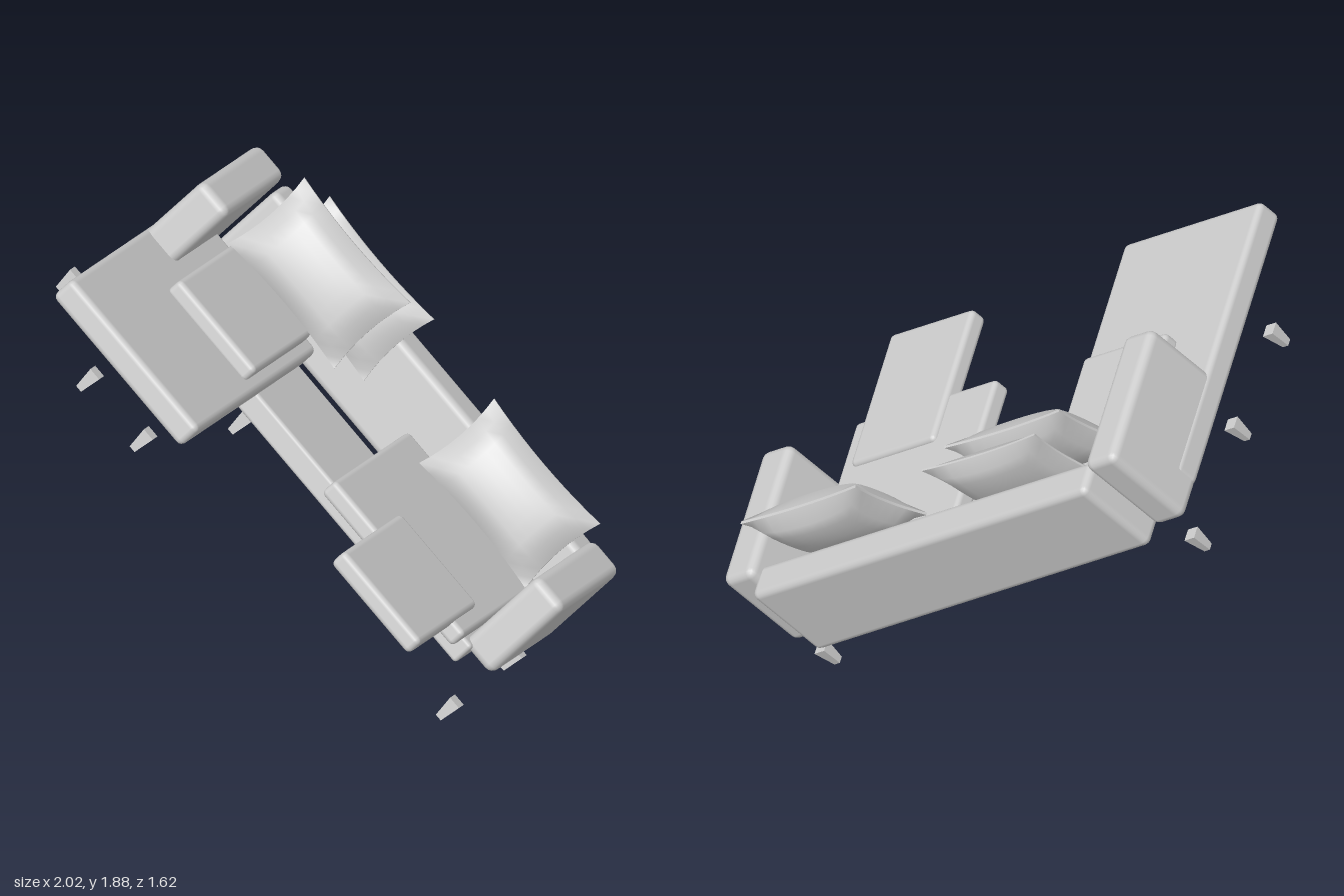
import * as THREE from 'three';
import { RoundedBoxGeometry } from 'three/addons/geometries/RoundedBoxGeometry.js';

const material = new THREE.MeshStandardMaterial({ color: 0xcccccc });

// Padded block spanning the given ranges: a = width, b = height, c = depth
function block(name, a, b, c, radius) {
  const geometry = new RoundedBoxGeometry(a[1] - a[0], b[1] - b[0], c[1] - c[0], 2, radius);
  const mesh = new THREE.Mesh(geometry, material);
  mesh.name = name;
  mesh.position.set((a[0] + a[1]) / 2, (b[0] + b[1]) / 2, (c[0] + c[1]) / 2);
  return mesh;
}

// Stuffed pillow: a box bulged in the middle, pinched at the seams, pointed at the corners
function pillow(name, width, height, depth, position, lean) {
  const geometry = new THREE.BoxGeometry(2, 2, 2, 10, 8, 1);
  const p = geometry.attributes.position;
  for (let i = 0; i < p.count; i++) {
    const x = p.getX(i), y = p.getY(i);
    const bulge = Math.pow((1 - x * x) * (1 - y * y), 0.4);
    p.setXYZ(i,
      x * (1 - 0.07 * (1 - y * y)) * width / 2,
      y * (1 - 0.09 * (1 - x * x)) * height / 2,
      p.getZ(i) * (0.06 + 0.94 * bulge) * depth / 2);
  }
  geometry.computeVertexNormals();
  const mesh = new THREE.Mesh(geometry, material);
  mesh.name = name;
  mesh.position.set(...position);
  mesh.rotation.x = -lean;
  return mesh;
}

export function createModel() {
  const model = new THREE.Group();
  model.name = 'sectionalSofa';

  // The whole sofa is tilted, so it is built upright in its own frame
  const sofa = new THREE.Group();
  sofa.name = 'tiltedSofa';
  const front = new THREE.Vector3(0, 0.33, 0.944).normalize();
  const side = new THREE.Vector3(0.782, -0.588, 0.206);
  side.addScaledVector(front, -side.dot(front)).normalize();
  const up = new THREE.Vector3().crossVectors(front, side);
  sofa.quaternion.setFromRotationMatrix(new THREE.Matrix4().makeBasis(side, up, front));
  model.add(sofa);

  // Frame: base, back and arms
  sofa.add(
    block('seatBase', [-1.4, 0.35], [0.59, 0.69], [-0.03, 0.41], 0.015),
    block('backrest', [-1.44, 0.335], [0.64, 1.02], [-0.285, -0.14], 0.03),
    block('rightArm', [-1.615, -1.455], [0.655, 1.07], [-0.215, 0.39], 0.035),
    block('leftArm', [0.31, 0.47], [0.655, 1.07], [-0.215, 0.39], 0.035),
  );

  // Seats and loose flat cushions
  sofa.add(
    block('chaiseSeat', [-1.62, -0.885], [0.66, 0.77], [-0.07, 1.165], 0.025),
    block('leftSeat', [-0.44, 0.31], [0.735, 0.812], [-0.13, 0.645], 0.02),
    block('chaiseCushion', [-1.385, -0.94], [0.755, 0.832], [-0.01, 0.588], 0.022),
    block('leftSeatCushion', [-0.2, 0.245], [0.755, 0.832], [0.42, 1.02], 0.022),
  );

  // Pillows leaning on the back
  sofa.add(
    pillow('chaisePillow', 0.61, 0.38, 0.16, [-1.09, 1.02, 0.02], 0.25),
    pillow('rearPillow', 0.6, 0.36, 0.13, [-0.985, 1.02, -0.075], 0.15),
    pillow('leftPillow', 0.61, 0.37, 0.17, [-0.01, 1.015, -0.015], 0.3),
  );

  // Short tapered feet set apart from the frame: [width, height, depth] positions
  const feet = [
    [-1.65, 0.53, 0.69], [-1.59, 0.525, 0.28], [-1.565, 0.53, -0.22],
    [-1.3, 0.53, 1.11], [-1.0, 0.54, 1.115], [-0.85, 0.53, 0.35],
    [0.465, 0.485, 0.48], [0.445, 0.505, -0.17],
  ];
  const footGeometry = new THREE.CylinderGeometry(0.036, 0.02, 0.095, 4).rotateY(Math.PI / 4).toNonIndexed();
  footGeometry.computeVertexNormals();
  for (const position of feet) {
    const foot = new THREE.Mesh(footGeometry, material);
    foot.name = 'foot';
    foot.position.set(...position);
    sofa.add(foot);
  }
  return model;
}
